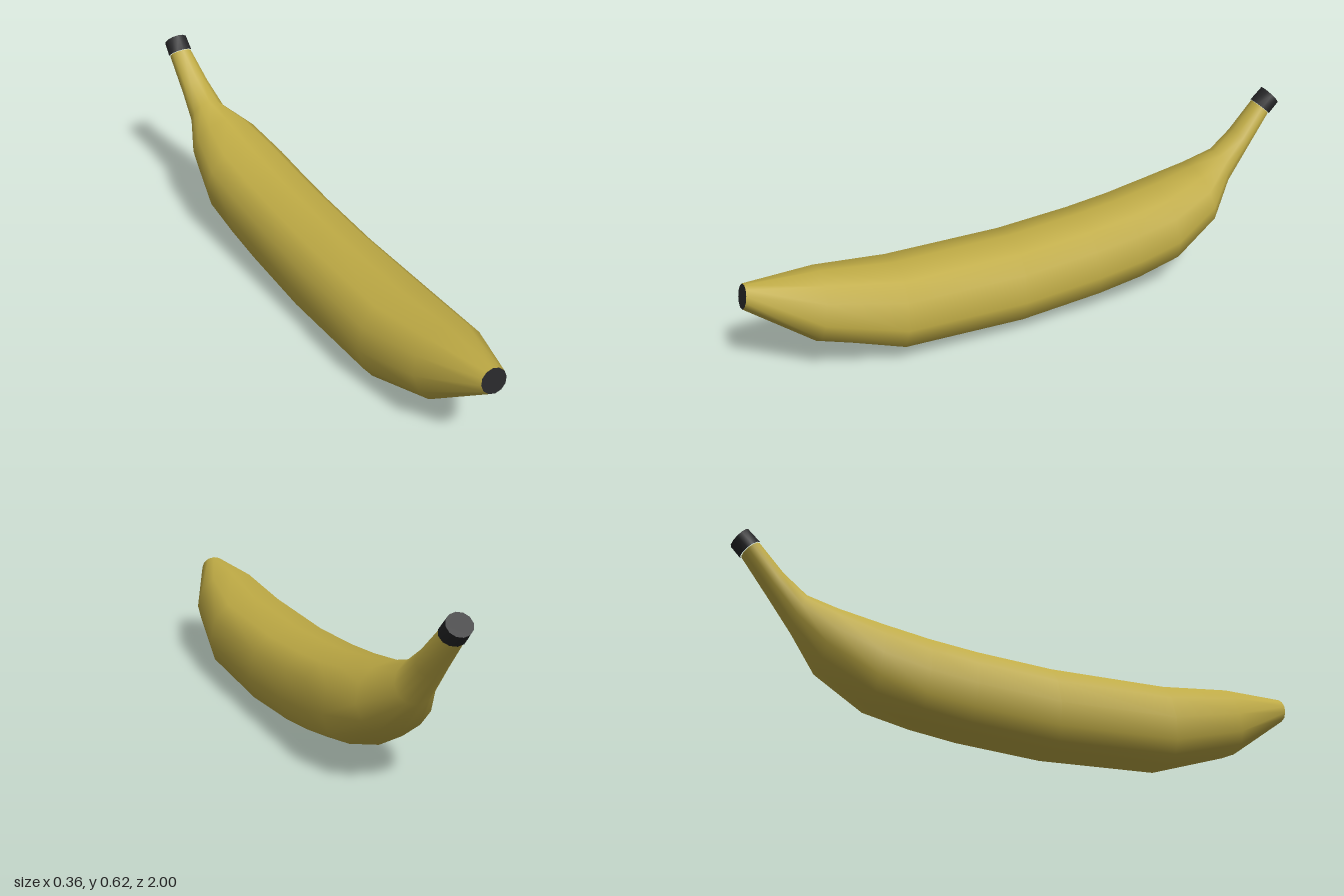
import * as THREE from 'three';

// Body cross-section: u across (-1..1), v from underside (0) to top (1)
const SECTION = [
  [1, 0.42], [0.9, 0.74], [0.58, 0.92], [0, 1], [-0.6, 0.93], [-0.9, 0.72],
  [-1, 0.45], [-0.9, 0.2], [-0.7, 0.06], [-0.2, 0], [0.45, 0.06], [0.88, 0.18],
];
const N = SECTION.length;

// Rings from tip to stem: [top z, top y, bottom z, bottom y, min x, max x, roundness]
const BODY = [
  [0.98, 0.335, 1.0, 0.258, -0.036, 0.053, 1],
  [0.74, 0.33, 0.79, 0.10, -0.115, 0.142, 0.3],
  [0.49, 0.30, 0.52, 0.013, -0.15, 0.176, 0],
  [0.08, 0.30, 0.10, 0.0, -0.16, 0.168, 0],
  [-0.18, 0.318, -0.20, 0.022, -0.167, 0.157, 0],
  [-0.34, 0.336, -0.36, 0.045, -0.172, 0.15, 0],
  [-0.49, 0.36, -0.52, 0.08, -0.18, 0.141, 0.2],
  [-0.64, 0.395, -0.69, 0.185, -0.156, 0.1, 0.6],
  [-0.743, 0.428, -0.78, 0.3, -0.115, 0.022, 1],
  [-0.823, 0.49, -0.865, 0.41, -0.11, -0.003, 1],
  [-0.907, 0.578, -0.961, 0.53, -0.111, -0.028, 1],
];
const STEM_BASE = [-0.905, 0.581, -0.965, 0.528, -0.114, -0.025, 1];
const STEM_END = [-0.947, 0.622, -0.998, 0.563, -0.112, -0.027, 1];

function ringPoints([tz, ty, bz, by, x0, x1, round]) {
  return SECTION.map(([su, sv], k) => {
    const a = (k / N) * Math.PI * 2;
    const u = THREE.MathUtils.lerp(su, Math.cos(a), round);
    const v = THREE.MathUtils.lerp(sv, 0.5 + 0.5 * Math.sin(a), round);
    return [
      (x0 + x1) / 2 + (u * (x1 - x0)) / 2,
      THREE.MathUtils.lerp(by, ty, v),
      THREE.MathUtils.lerp(bz, tz, v),
    ];
  });
}

function build(points, index) {
  const g = new THREE.BufferGeometry();
  g.setAttribute('position', new THREE.Float32BufferAttribute(points.flat(), 3));
  g.setIndex(index);
  g.computeVertexNormals();
  return g;
}

// Smooth skin through a row of rings
function loft(rings) {
  const index = [];
  for (let i = 0; i < rings.length - 1; i++) {
    for (let k = 0; k < N; k++) {
      const a = i * N + k, b = i * N + ((k + 1) % N);
      index.push(a, a + N, b, b, a + N, b + N);
    }
  }
  return build(rings.flatMap(ringPoints), index);
}

// Flat end face on a ring
function endFace(ring, facesBack) {
  const index = [];
  for (let k = 1; k < N - 1; k++) {
    index.push(0, ...(facesBack ? [k + 1, k] : [k, k + 1]));
  }
  return build(ringPoints(ring), index);
}

export function createModel() {
  const group = new THREE.Group();
  group.name = 'banana';
  const yellow = new THREE.MeshStandardMaterial({ color: 0xbfab45 });
  const dark = new THREE.MeshStandardMaterial({ color: 0x262628 });
  const add = (name, geometry, material) => {
    const mesh = new THREE.Mesh(geometry, material);
    mesh.name = name;
    group.add(mesh);
  };

  // Peel with its tapering stem
  add('peel', loft(BODY), yellow);
  // Dark blossom end
  add('tip', endFace(BODY[0], false), dark);
  // Dark cut end of the stem
  add('stemCap', loft([STEM_BASE, STEM_END]), dark);
  add('stemCut', endFace(STEM_END, true), dark);
  return group;
}
